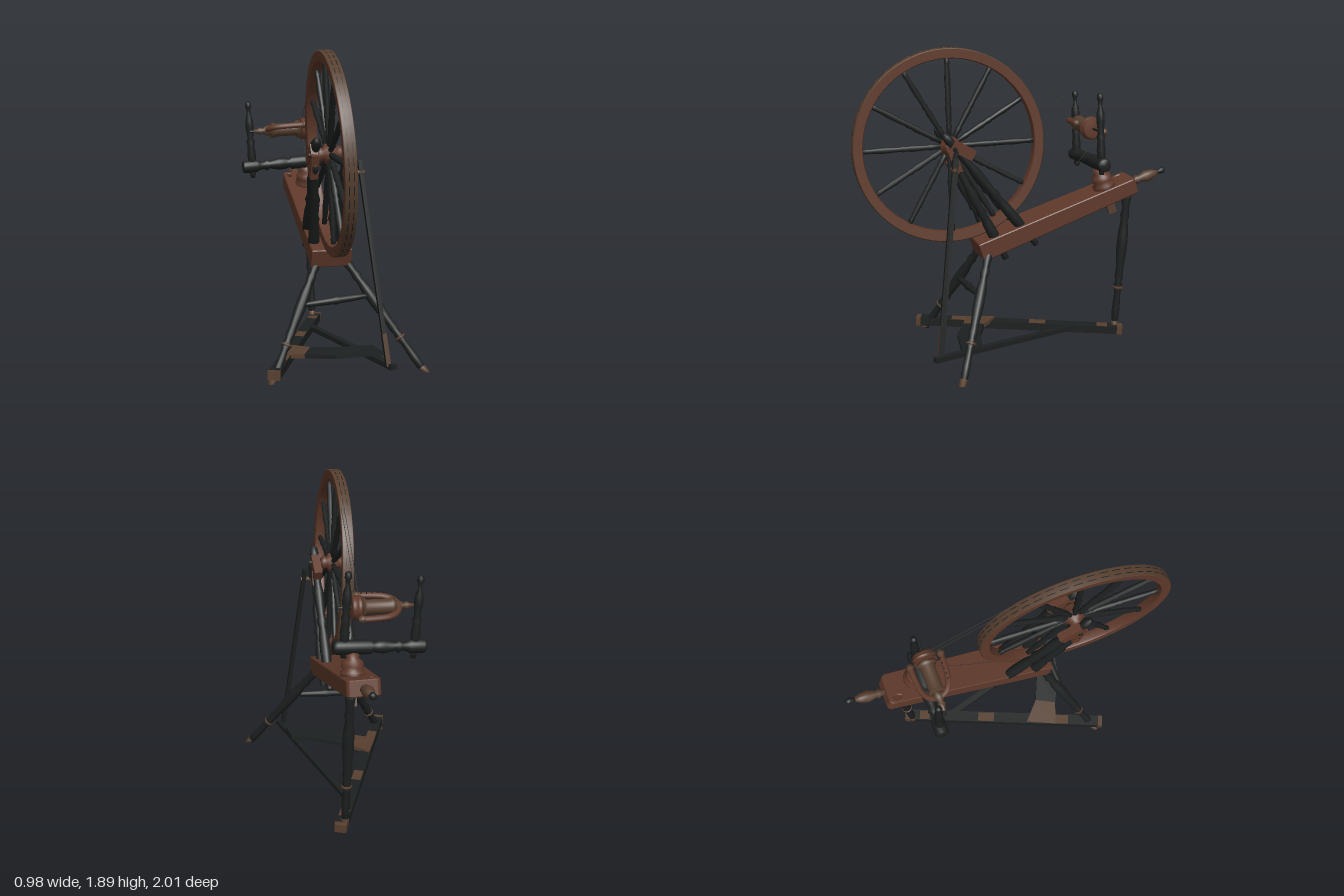
import * as THREE from 'three';

const material = (name, color) => {
  const m = new THREE.MeshStandardMaterial({ color });
  m.name = name;
  return m;
};
const wood = material('red brown wood', 0x5f392a);
const worn = material('worn wood', 0x573f2f);
const dark = material('blackened wood', 0x1d2020);
const cord = material('cord', 0x3f3a34);

const UP = new THREE.Vector3(0, 1, 0);
const V = (p) => new THREE.Vector3(...p);
const mix = (a, b, t) => a.map((v, i) => v + (b[i] - v) * t);

export function createModel() {
  const root = new THREE.Group();

  function add(name, geo, mat, parent = root) {
    const m = new THREE.Mesh(geo, mat);
    m.name = name;
    parent.add(m);
    return m;
  }

  // Turned piece from a to b; profile holds [fraction along, radius]
  function turned(name, a, b, profile, mat, parent = root, seg = 14) {
    const p = V(a), d = V(b).sub(p), len = d.length();
    const pts = profile.map(([t, r]) => new THREE.Vector2(r, t * len));
    pts.unshift(new THREE.Vector2(0, pts[0].y));
    pts.push(new THREE.Vector2(0, pts[pts.length - 1].y));
    const m = add(name, new THREE.LatheGeometry(pts, seg), mat, parent);
    m.position.copy(p);
    m.quaternion.setFromUnitVectors(UP, d.normalize());
    return m;
  }
  const rod = (name, a, b, r, mat, parent) => turned(name, a, b, [[0, r], [1, r]], mat, parent);

  // Square beam from a to b; its height points along up
  function beam(name, a, b, w, h, mat, up = UP) {
    const p = V(a), q = V(b);
    const m = add(name, new THREE.BoxGeometry(w, h, p.distanceTo(q)), mat);
    m.position.copy(p).add(q).multiplyScalar(0.5);
    m.up.copy(up);
    m.lookAt(q);
    return m;
  }

  // ---- Wheel ----
  const wheel = new THREE.Group();
  wheel.name = 'wheel';
  wheel.position.set(-0.095, 1.298, 0.415);
  wheel.quaternion.setFromUnitVectors(UP, new THREE.Vector3(1, 0.05, 0.035).normalize());
  root.add(wheel);
  const ring = (name, pts, mat) => add(name, new THREE.LatheGeometry(
    pts.map(([r, y]) => new THREE.Vector2(r, y)), 72), mat, wheel);
  // faces kept as separate strips for crisp edges
  ring('rimSide', [[0.581, 0.034], [0.529, 0.031]], wood);
  ring('rimSide', [[0.529, -0.031], [0.581, -0.034]], wood);
  ring('rimInner', [[0.529, 0.031], [0.524, 0.02], [0.524, -0.02], [0.529, -0.031]], wood);
  ring('rimTread', [[0.581, -0.034], [0.587, -0.029], [0.587, 0.029], [0.581, 0.034]], worn);
  // broken dark scoring lines around the tread
  for (const y of [-0.013, 0.013]) {
    for (let i = 0; i < 48; i++) {
      const arc = new THREE.CylinderGeometry(0.5885, 0.5885, 0.005, 3, 1, true, i * Math.PI / 24, 0.085);
      add('rimScore', arc, dark, wheel).position.y = y;
    }
  }
  turned('hub', [0, -0.075, 0], [0, 0.075, 0],
    [[0, 0.03], [0.12, 0.045], [0.25, 0.035], [0.35, 0.06], [0.65, 0.06], [0.75, 0.035], [0.88, 0.045], [1, 0.03]],
    wood, wheel, 20);
  rod('axle', [0, -0.12, 0], [0, 0.145, 0], 0.013, dark, wheel);
  const spoke = [[0, 0.015], [0.1, 0.016], [0.14, 0.02], [0.18, 0.015], [0.38, 0.02], [0.44, 0.015], [0.48, 0.02],
    [0.52, 0.015], [0.72, 0.019], [0.9, 0.014], [0.93, 0.017], [1, 0.014]];
  for (let i = 0; i < 12; i++) {
    const a = i * Math.PI / 6 + 0.03, c = Math.cos(a), s = Math.sin(a);
    turned('spoke', [0.05 * c, 0, 0.05 * s], [0.53 * c, 0, 0.53 * s], spoke, dark, wheel, 10);
  }

  // ---- Sloping bench, thicker at the low end, with a peg hole at the high end ----
  const plank = new THREE.Shape();
  plank.moveTo(-0.116, -0.54);
  plank.lineTo(0.116, -0.54);
  plank.lineTo(0.094, 0.515);
  plank.quadraticCurveTo(0.092, 0.54, 0.07, 0.54);
  plank.lineTo(-0.07, 0.54);
  plank.quadraticCurveTo(-0.092, 0.54, -0.094, 0.515);
  plank.closePath();
  const hole = new THREE.Path();
  hole.absellipse(-0.062, 0.49, 0.018, 0.032, 0, Math.PI * 2, true);
  plank.holes.push(hole);
  const plankGeo = new THREE.ExtrudeGeometry(plank, {
    depth: 0.084, bevelSize: 0.005, bevelThickness: 0.006, bevelSegments: 1, curveSegments: 12 });
  plankGeo.translate(0, 0, -0.042);
  const pos = plankGeo.attributes.position;
  for (let i = 0; i < pos.count; i++) {
    if (pos.getZ(i) < 0) pos.setZ(i, pos.getZ(i) - 0.02 * (0.545 - pos.getY(i)) / 1.09);
  }
  plankGeo.computeVertexNormals();
  const bench = add('bench', plankGeo, wood);
  bench.rotation.x = -Math.PI / 2 + 0.302;
  bench.position.set(-0.046, 0.826, -0.2475);

  // Handle at the high end
  turned('benchHandle', [-0.043, 0.985, -0.75], [-0.043, 1.037, -0.945],
    [[0, 0.018], [0.2, 0.02], [0.28, 0.03], [0.35, 0.022], [0.6, 0.037], [0.85, 0.028], [1, 0.014]], worn);
  turned('handleTip', [-0.043, 1.036, -0.94], [-0.043, 1.053, -1.0],
    [[0, 0.013], [0.3, 0.013], [0.5, 0.021], [0.8, 0.02], [1, 0.01]], dark);

  // ---- Legs ----
  const leg = [[0.02, 0.021], [0.12, 0.025], [0.25, 0.02], [0.29, 0.031], [0.33, 0.021], [0.37, 0.028], [0.42, 0.024],
    [0.58, 0.034], [0.7, 0.032], [0.78, 0.022], [0.82, 0.029], [0.86, 0.022], [0.95, 0.03], [1, 0.026]];
  const legs = [
    ['leftFrontLeg', [0.46, 0, 0.51], [0.03, 0.66, 0.21]],
    ['rightFrontLeg', [-0.45, 0, 0.51], [-0.11, 0.66, 0.21]],
    ['backLeg', [0.03, 0.05, -0.64], [0.02, 0.95, -0.71]],
  ];
  for (const [name, foot, top] of legs) {
    turned(name, foot, top, leg, dark);
    // foot is cut level with the floor
    const tip = rod(name + 'Foot', mix(foot, top, -0.03), mix(foot, top, 0.035), 0.023, worn);
    tip.updateMatrix();
    tip.geometry.applyMatrix4(tip.matrix);
    tip.position.set(0, 0, 0);
    tip.quaternion.identity();
    const p = tip.geometry.attributes.position;
    for (let i = 0; i < p.count; i++) p.setY(i, Math.max(0, p.getY(i)));
    turned(name + 'Ring', mix(foot, top, 0.28), mix(foot, top, 0.3), [[0, 0.03], [0.5, 0.0335], [1, 0.03]], worn);
  }
  turned('legStretcher', [-0.235, 0.4, 0.335], [0.17, 0.43, 0.32],
    [[0, 0.013], [0.2, 0.019], [0.45, 0.022], [0.5, 0.027], [0.55, 0.022], [0.8, 0.019], [1, 0.013]], dark);

  // ---- Treadle ----
  const barA = [-0.452, 0.06, 0.56], barB = [0.065, 0.03, -0.675];
  beam('treadleBar', barA, barB, 0.07, 0.05, dark);
  beam('treadleBarEnd', mix(barA, barB, -0.004), mix(barA, barB, 0.018), 0.072, 0.052, worn);
  beam('treadleBarEnd', mix(barA, barB, 0.978), mix(barA, barB, 1.004), 0.072, 0.052, worn);
  for (const [t0, t1] of [[0.17, 0.25], [0.55, 0.63], [0.88, 0.93]]) {
    const lift = (t) => mix(barA, barB, t).map((v, i) => (i === 1 ? v + 0.025 : v));
    beam('wornPatch', lift(t0), lift(t1), 0.06, 0.004, worn);
  }
  beam('treadleArm', [0.24, 0.075, 0.62], [-0.05, 0.045, -0.42], 0.04, 0.03, dark);
  const pedalPart = (name, pts, mat) => {
    const shape = new THREE.Shape(pts.map(([x, z]) => new THREE.Vector2(x, -z)));
    const m = add(name, new THREE.ExtrudeGeometry(shape, { depth: 0.025, bevelEnabled: false }), mat);
    m.rotation.set(-Math.PI / 2, 0, 0.07, 'ZXY');
    m.position.y = 0.08;
  };
  pedalPart('pedalWornEnd', [[-0.36, 0.26], [-0.22, 0.31], [-0.16, 0.19], [-0.28, 0.08]], worn);
  pedalPart('pedal', [[-0.22, 0.31], [-0.05, 0.4], [0.22, 0.45], [0.2, 0.31], [0.02, 0.27], [-0.16, 0.19]], dark);

  // Crank and connecting rod, worn on the front of its low end
  beam('crankArm', [0.045, 1.295, 0.41], [0.045, 1.18, 0.44], 0.018, 0.025, dark);
  rod('crankPin', [0.04, 1.19, 0.437], [0.105, 1.19, 0.437], 0.015, worn);
  const rodTop = [0.078, 1.26, 0.425], rodLow = [0.217, 0.075, 0.58], front = V([0, 0, 1]);
  beam('footman', rodTop, rodLow, 0.024, 0.034, dark, front);
  beam('footmanEnd', mix(rodTop, rodLow, 0.84), mix(rodTop, rodLow, 1.002), 0.027, 0.036,
    [dark, dark, worn, dark, worn, worn], front);

  // ---- Wheel posts, struts and axle bearings on both sides ----
  const post = [[0, 0.02], [0.14, 0.022], [0.16, 0.029], [0.24, 0.034], [0.36, 0.031], [0.42, 0.023], [0.46, 0.033],
    [0.5, 0.025], [0.66, 0.033], [0.72, 0.023], [0.85, 0.025], [0.9, 0.02], [0.94, 0.028], [0.98, 0.024], [1, 0.01]];
  for (const [xLow, xTop] of [[0.018, 0.015], [-0.125, -0.182]]) {
    turned('wheelPost', [xLow, 0.66, -0.1], [xTop, 1.395, 0.48], post, dark);
    turned('wheelStrut', [xLow + 0.005, 0.59, 0.1], [xTop, 1.25, 0.43], post, dark);
    beam('axleBearing', [xTop, 1.33, 0.43], [xTop, 1.255, 0.3], 0.05, 0.065, wood);
    beam('bearingCheek', [xTop, 1.3, 0.44], [xTop, 1.16, 0.39], 0.046, 0.045, wood);
  }

  // ---- Tension collar and its tenon through the bench ----
  turned('tensionCollar', [-0.02, 0.96, -0.575], [-0.03, 1.1, -0.53],
    [[0, 0.07], [0.25, 0.072], [0.33, 0.055], [0.45, 0.066], [0.65, 0.06], [0.78, 0.036], [1, 0.04]], wood, root, 24);
  beam('collarTenon', [-0.01, 0.81, -0.625], [-0.02, 1.0, -0.56], 0.05, 0.05, worn);

  // ---- Cross bar carrying the two uprights ----
  turned('crossBar', [-0.45, 1.105, -0.53], [0.085, 1.14, -0.53],
    [[0, 0.035], [0.02, 0.041], [0.17, 0.041], [0.2, 0.03], [0.26, 0.024], [0.29, 0.038], [0.33, 0.025], [0.44, 0.04],
      [0.52, 0.038], [0.57, 0.028], [0.6, 0.043], [0.96, 0.043], [1, 0.036]], dark, root, 20);
  const upright = [[0, 0.014], [0.07, 0.02], [0.12, 0.016], [0.2, 0.024], [0.3, 0.028], [0.42, 0.022], [0.47, 0.027],
    [0.52, 0.018], [0.66, 0.026], [0.76, 0.024], [0.84, 0.012], [0.9, 0.013], [0.93, 0.02], [0.98, 0.018], [1, 0.008]];
  turned('rightUpright', [-0.383, 1.035, -0.53], [-0.415, 1.53, -0.52], upright, dark);
  turned('leftUpright', [0.025, 1.07, -0.53], [-0.005, 1.58, -0.52], upright, dark);

  // ---- Flyer and bobbin ----
  const flyer = new THREE.Group();
  flyer.name = 'flyer';
  flyer.position.set(0, 1.355, -0.49);
  flyer.rotation.set(-0.35, 0, 0.04);
  root.add(flyer);
  const arm = [[-0.08, 0.1], [-0.14, 0.098], [-0.23, 0.086], [-0.28, 0.055]];
  const path = [...arm, [-0.3, 0], ...arm.map(([x, z]) => [x, -z]).reverse()];
  add('flyerFork', new THREE.TubeGeometry(new THREE.CatmullRomCurve3(
    path.map(([x, z]) => new THREE.Vector3(x, 0, z))), 40, 0.018, 8), wood, flyer);
  for (const s of [-1, 1]) {
    turned('forkTip', [-0.09, 0, 0.1 * s], [-0.05, 0, 0.1 * s], [[0, 0.015], [0.5, 0.024], [1, 0.014]], worn, flyer);
    for (let i = 0; i < 5; i++) {
      const x = -0.1 - i * 0.032;
      rod('flyerHook', [x, 0, 0.095 * s], [x, 0.028 * s, 0.095 * s], 0.003, dark, flyer);
    }
  }
  turned('spindleTip', [-0.385, 0, 0], [-0.27, 0, 0],
    [[0, 0.01], [0.2, 0.014], [0.35, 0.024], [0.5, 0.016], [0.7, 0.03], [1, 0.036]], worn, flyer);
  rod('spindle', [-0.41, 0, 0], [0.045, 0, 0], 0.008, dark, flyer);
  turned('bobbin', [-0.275, 0, 0], [-0.08, 0, 0],
    [[0, 0.048], [0.1, 0.05], [0.14, 0.042], [0.85, 0.042], [0.9, 0.058], [1, 0.058]], worn, flyer, 24);
  turned('whorl', [-0.08, 0, 0], [-0.025, 0, 0],
    [[0, 0.068], [0.15, 0.072], [0.28, 0.062], [0.42, 0.071], [0.58, 0.071], [0.72, 0.06], [0.85, 0.066], [1, 0.056]],
    wood, flyer, 28);

  // ---- Drive cord ----
  const strand = (pts) => add('driveCord', new THREE.TubeGeometry(
    new THREE.CatmullRomCurve3(pts.map(V)), 20, 0.0018, 5), cord);
  for (const dx of [-0.009, 0.009]) {
    strand([[-0.09 + dx, 1.795, 0.11], [-0.077 + dx, 1.61, -0.19], [-0.06 + dx, 1.425, -0.47]]);
  }
  strand([[-0.06, 0.835, 0.04], [-0.058, 0.93, -0.14], [-0.056, 1.035, -0.29], [-0.055, 1.15, -0.41], [-0.055, 1.285, -0.51]]);

  return root;
}
